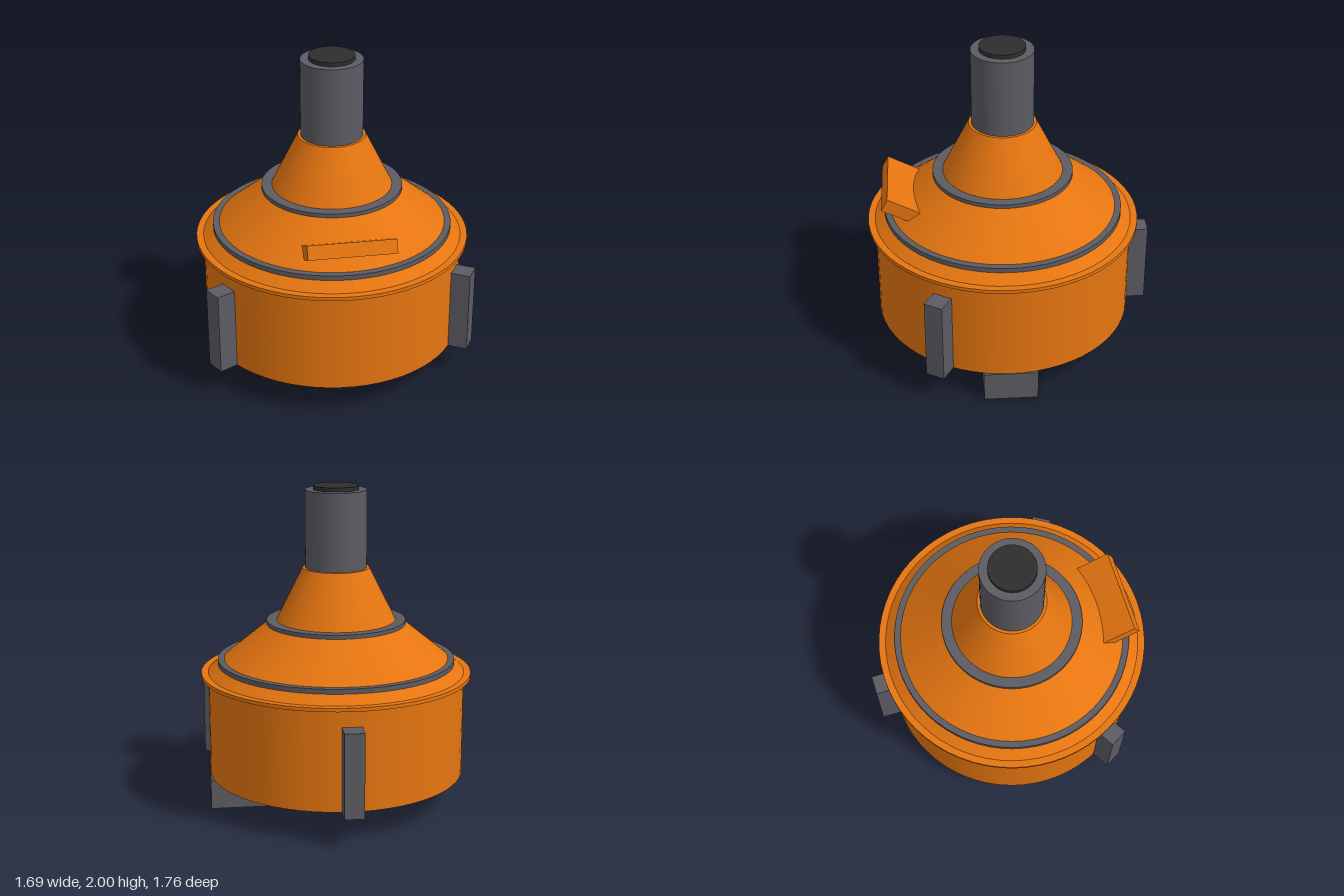
import * as THREE from 'three';

const SEG = 64;

export function createModel() {
  const orange = new THREE.MeshStandardMaterial({ name: 'orange paint', color: 0xe57510 });
  const grey = new THREE.MeshStandardMaterial({ name: 'grey metal', color: 0x5c5b62 });
  const black = new THREE.MeshStandardMaterial({ name: 'dark opening', color: 0x2e2e2e });

  const model = new THREE.Group();
  model.name = 'bellHousing';
  const core = new THREE.Group();
  core.name = 'core';
  core.position.z = 0.038; // the back fin makes the outline lopsided
  model.add(core);

  const add = (name, geometry, material, parent = core) => {
    const mesh = new THREE.Mesh(geometry, material);
    mesh.name = name;
    parent.add(mesh);
    return mesh;
  };

  // Round section between two heights
  const round = (name, y0, y1, r0, r1, material) => {
    const mesh = add(name, new THREE.CylinderGeometry(r1, r0, y1 - y0, SEG), material);
    mesh.position.y = (y0 + y1) / 2;
  };

  // Stacked body, cones, trim rings and pipe
  round('drum', 0.19, 0.82, 0.802, 0.802, orange);
  round('flange', 0.817, 0.84, 0.845, 0.845, orange);
  round('lowerCone', 0.84, 1.15, 0.802, 0.42, orange);
  round('lowerRing', 0.892, 0.922, 0.74, 0.74, grey);
  round('upperRing', 1.14, 1.165, 0.433, 0.433, grey);
  round('upperCone', 1.165, 1.492, 0.37, 0.207, orange);
  round('pipe', 1.492, 1.975, 0.19, 0.19, grey);
  round('pipeCap', 1.975, 2.0, 0.14, 0.14, black);

  // Three fins around the drum: back, front left, front right
  for (let i = 0; i < 3; i++) {
    const arm = new THREE.Group();
    arm.name = 'finArm' + (i + 1);
    arm.rotation.y = i * Math.PI * 2 / 3;
    core.add(arm);
    const fin = add('fin', new THREE.BoxGeometry(0.12, 0.52, 0.125), grey, arm);
    fin.position.set(0, 0.45, -0.857);
  }

  // Block under the drum on the left side
  const foot = add('footBlock', new THREE.BoxGeometry(0.42, 0.19, 0.33), grey);
  foot.position.set(0.595, 0.095, 0);

  // Tilted visor sunk into the lower cone
  const visor = add('visor', new THREE.BoxGeometry(0.525, 0.085, 0.3), orange);
  visor.position.set(0, 1.015, 0.636 - 0.038);
  visor.rotation.x = -0.48;

  return model;
}
